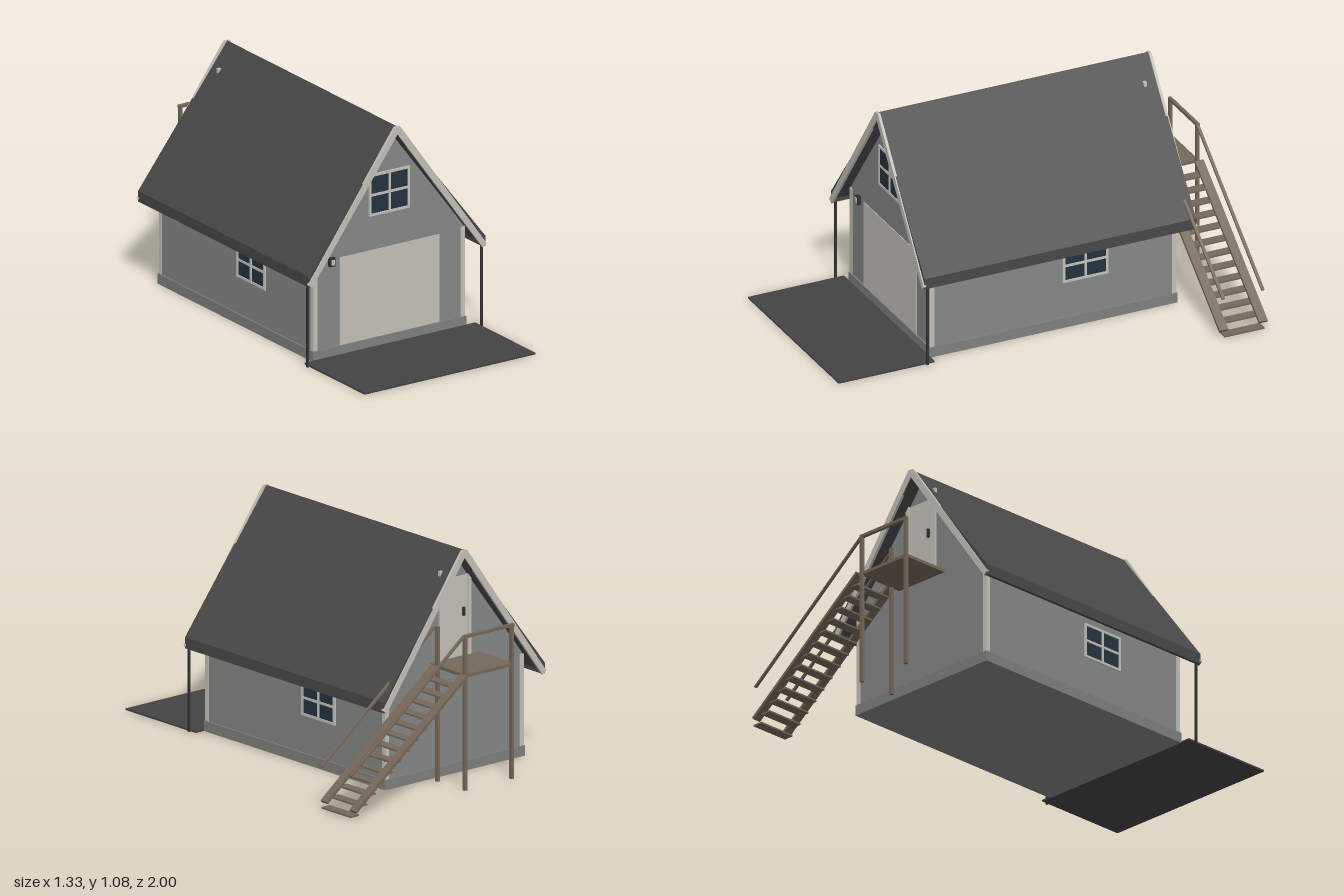
import * as THREE from 'three';

const mat = (name, color) => {
  const m = new THREE.MeshStandardMaterial({ color });
  m.name = name;
  return m;
};

export function createModel() {
  const wall = mat('grey siding', 0x858886);
  const base = mat('foundation grey', 0x7e817f);
  const trim = mat('pale trim', 0xc3c1b9);
  const roofing = mat('dark roofing', 0x484848);
  const paving = mat('asphalt', 0x434343);
  const metal = mat('dark metal', 0x333333);
  const glass = mat('window glass', 0x243340);
  const wood = mat('weathered wood', 0x75685a);

  const model = new THREE.Group();
  model.name = 'garageWithLoft';
  const house = new THREE.Group();
  house.name = 'house';
  house.position.x = -0.175;
  const stairs = new THREE.Group();
  stairs.name = 'outsideStairs';
  model.add(house, stairs);

  // box given by its min and max on each axis
  const box = (parent, name, m, x0, x1, y0, y1, z0, z1) => {
    const mesh = new THREE.Mesh(new THREE.BoxGeometry(x1 - x0, y1 - y0, z1 - z0), m);
    mesh.position.set((x0 + x1) / 2, (y0 + y1) / 2, (z0 + z1) / 2);
    mesh.name = name;
    parent.add(mesh);
    return mesh;
  };
  // outline in x and y, extruded from z0 to z1
  const prism = (parent, name, m, pts, z0, z1) => {
    const shape = new THREE.Shape(pts.map(([x, y]) => new THREE.Vector2(x, y)));
    const mesh = new THREE.Mesh(
      new THREE.ExtrudeGeometry(shape, { depth: z1 - z0, bevelEnabled: false }), m);
    mesh.position.z = z0;
    mesh.name = name;
    parent.add(mesh);
    return mesh;
  };
  // sloping bar in the x-y plane
  const bar = (name, ax, ay, bx, by, thick, z0, z1) => {
    const mesh = new THREE.Mesh(
      new THREE.BoxGeometry(Math.hypot(bx - ax, by - ay), thick, z1 - z0), wood);
    mesh.position.set((ax + bx) / 2, (ay + by) / 2, (z0 + z1) / 2);
    mesh.rotation.z = Math.atan2(by - ay, bx - ax);
    mesh.name = name;
    stairs.add(mesh);
  };
  // four-pane window facing +z, centred on its own origin
  const windowUnit = (name, w, h) => {
    const g = new THREE.Group();
    g.name = name;
    const f = 0.012;
    box(g, 'panes', glass, -w / 2 + f / 2, w / 2 - f / 2, -h / 2 + f / 2, h / 2 - f / 2, -0.002, 0.004);
    for (const s of [-1, 0, 1]) {
      const x = s * (w - f) / 2, y = s * (h - f) / 2;
      box(g, 'uprightBar', trim, x - f / 2, x + f / 2, -h / 2, h / 2, -0.002, 0.008);
      box(g, 'crossBar', trim, -w / 2, w / 2, y - f / 2, y + f / 2, -0.002, 0.0075);
    }
    house.add(g);
    return g;
  };

  // body
  box(house, 'foundation', base, -0.422, 0.422, 0, 0.05, -0.74, 0.515);
  prism(house, 'walls', wall,
    [[-0.415, 0.05], [0.415, 0.05], [0.415, 0.485], [0, 1.04], [-0.415, 0.485]], -0.733, 0.508);

  for (const s of [-1, 1]) {
    const side = (pts) => {
      const p = pts.map(([x, y]) => [s * x, y]);
      return s < 0 ? p.reverse() : p;
    };
    // roof slope, gutter and downpipe
    prism(house, 'roofSlope', roofing,
      side([[0, 1.035], [0.478, 0.405], [0.486, 0.445], [0, 1.075]]), -0.803, 0.573);
    const [gx0, gx1] = s > 0 ? [0.472, 0.487] : [-0.487, -0.472];
    box(house, 'gutter', roofing, gx0, gx1, 0.393, 0.445, -0.803, 0.573);
    box(house, 'downpipe', metal, s * 0.479 - 0.005, s * 0.479 + 0.005, 0, 0.4, 0.548, 0.558);
    // sloping gable boards at front and back
    for (const [z0, z1] of [[0.566, 0.579], [-0.808, -0.795]]) {
      prism(house, 'gableBoard', trim,
        side([[0, 1.038], [0.471, 0.39], [0.492, 0.407], [0.014, 1.074], [0, 1.074]]), z0, z1);
    }
    // corner boards
    for (const z of [0.5, -0.726]) {
      const x = s * 0.407;
      box(house, 'cornerBoard', trim, x - 0.011, x + 0.011, 0.05, 0.485, z - 0.011, z + 0.011);
    }
  }

  // garage door and wall lamp
  box(house, 'garageDoor', trim, -0.272, 0.276, 0.05, 0.475, 0.505, 0.511);
  box(house, 'lampHousing', metal, -0.335, -0.305, 0.445, 0.487, 0.505, 0.525);
  box(house, 'lampGlass', trim, -0.327, -0.312, 0.452, 0.478, 0.51, 0.528);

  // windows
  windowUnit('gableWindow', 0.224, 0.203).position.set(0, 0.742, 0.508);
  const rightSide = windowUnit('sideWindow', 0.23, 0.17);
  rightSide.position.set(0.415, 0.314, -0.275);
  rightSide.rotation.y = Math.PI / 2;
  const leftSide = windowUnit('sideWindow', 0.23, 0.17);
  leftSide.position.set(-0.415, 0.314, 0.01);
  leftSide.rotation.y = -Math.PI / 2;

  // loft door with frame and handle
  box(house, 'loftDoor', trim, -0.08, 0.08, 0.55, 0.93, -0.738, -0.73);
  for (const s of [-1, 1]) {
    box(house, 'loftDoorFrame', trim, s * 0.085 - 0.009, s * 0.085 + 0.009, 0.55, 0.975, -0.745, -0.73);
  }
  box(house, 'loftDoorHandle', metal, -0.056, -0.044, 0.74, 0.78, -0.75, -0.736);

  // driveway
  box(model, 'driveway', paving, -0.645, 0.297, 0, 0.008, 0.515, 1);

  // landing, its posts and rail
  box(stairs, 'landing', wood, -0.32, -0.03, 0.535, 0.55, -0.98, -0.735);
  for (const [x, z] of [[-0.03, -0.975], [-0.03, -0.785], [-0.312, -0.975]]) {
    box(stairs, 'landingPost', wood, x - 0.008, x + 0.008, 0, 0.735, z - 0.008, z + 0.008);
  }
  box(stairs, 'landingRail', wood, -0.322, -0.022, 0.723, 0.737, -0.984, -0.968);

  // flight of steps
  for (let i = 0; i < 13; i++) {
    const x = 0.638 - i * 0.0515, y = 0.008 + i * 0.041;
    box(stairs, 'tread', wood, x - 0.025, x + 0.025, y - 0.004, y + 0.004, -0.978, -0.777);
  }
  for (const [z0, z1] of [[-1, -0.957], [-0.8, -0.757]]) {
    const mid = z0 < -0.9 ? -0.973 : -0.772;
    bar('stringer', 0.648, 0.032, -0.02, 0.547, 0.014, z0, z1);
    bar('handrail', 0.657, 0.2, -0.025, 0.732, 0.009, mid - 0.007, mid + 0.007);
  }

  return model;
}
